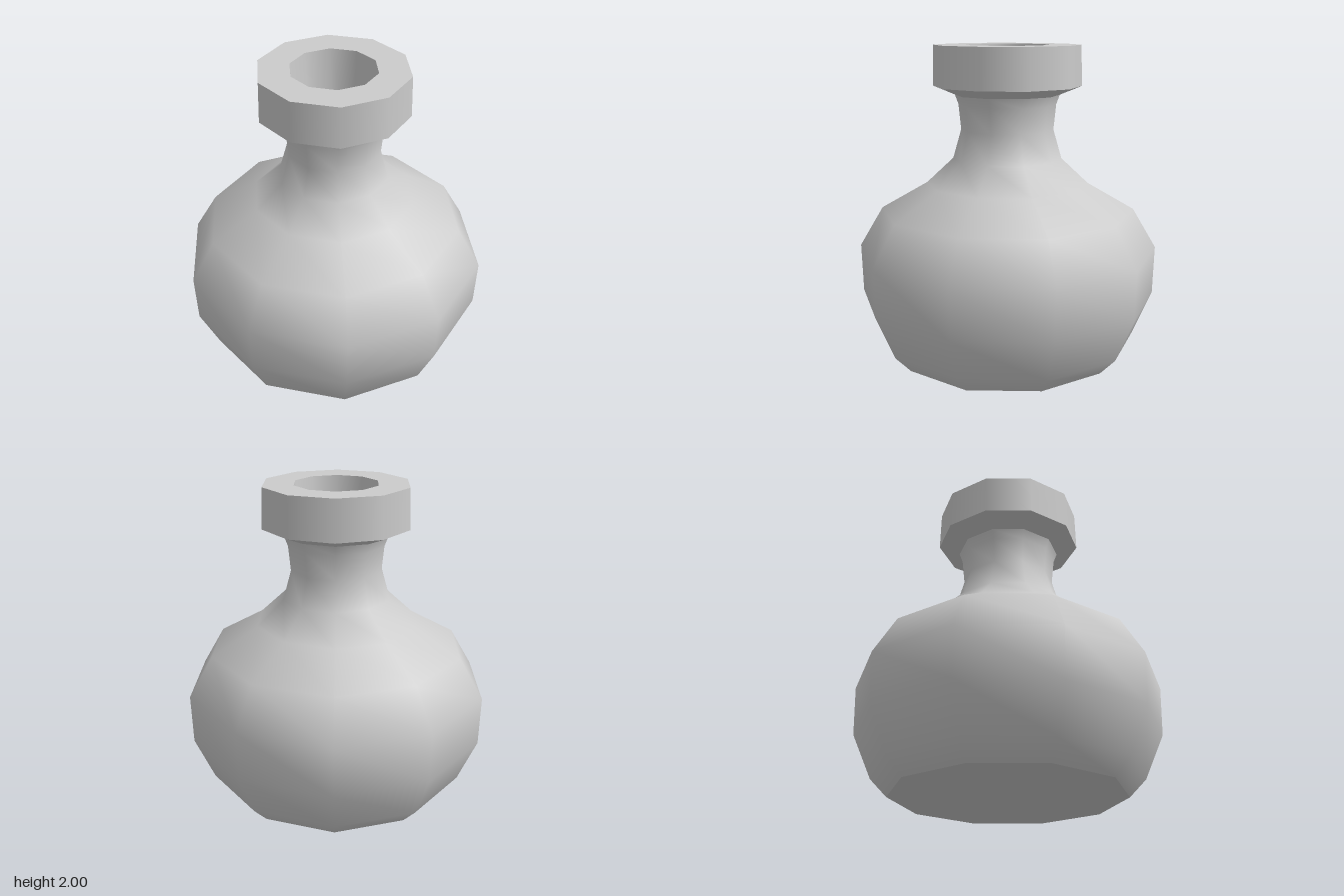
import * as THREE from 'three';

const SIDES = 10;

export function createModel() {
  const group = new THREE.Group();
  group.name = 'flask';
  const material = new THREE.MeshStandardMaterial({ color: 0xcccccc });

  // Each section is a ten-sided lathe, smooth inside and creased where sections meet.
  // Profiles run from the base centre up the outside, over the rim and down the bore.
  const section = (name, profile) => {
    const points = profile.map(([r, y]) => new THREE.Vector2(r, y));
    const mesh = new THREE.Mesh(new THREE.LatheGeometry(points, SIDES, Math.PI / 2), material);
    mesh.name = name;
    group.add(mesh);
  };

  section('base', [[0, 0], [0.73, 0]]);

  // Rounded belly, shoulder and narrow neck
  section('bodyAndNeck', [
    [0.73, 0], [0.835, 0.11], [0.957, 0.39], [0.966, 0.7], [0.815, 0.955],
    [0.518, 1.125], [0.347, 1.285], [0.294, 1.47], [0.31, 1.63], [0.332, 1.69],
  ]);

  // Heavy lip around the mouth
  section('lipUnderside', [[0.332, 1.69], [0.47, 1.745]]);
  section('lipSide', [[0.47, 1.745], [0.463, 2]]);
  section('lipTop', [[0.463, 2], [0.267, 2]]);

  // Tapering bore with a flat floor
  section('boreWall', [[0.267, 2], [0.222, 1.4]]);
  section('boreFloor', [[0.222, 1.4], [0, 1.4]]);

  return group;
}
